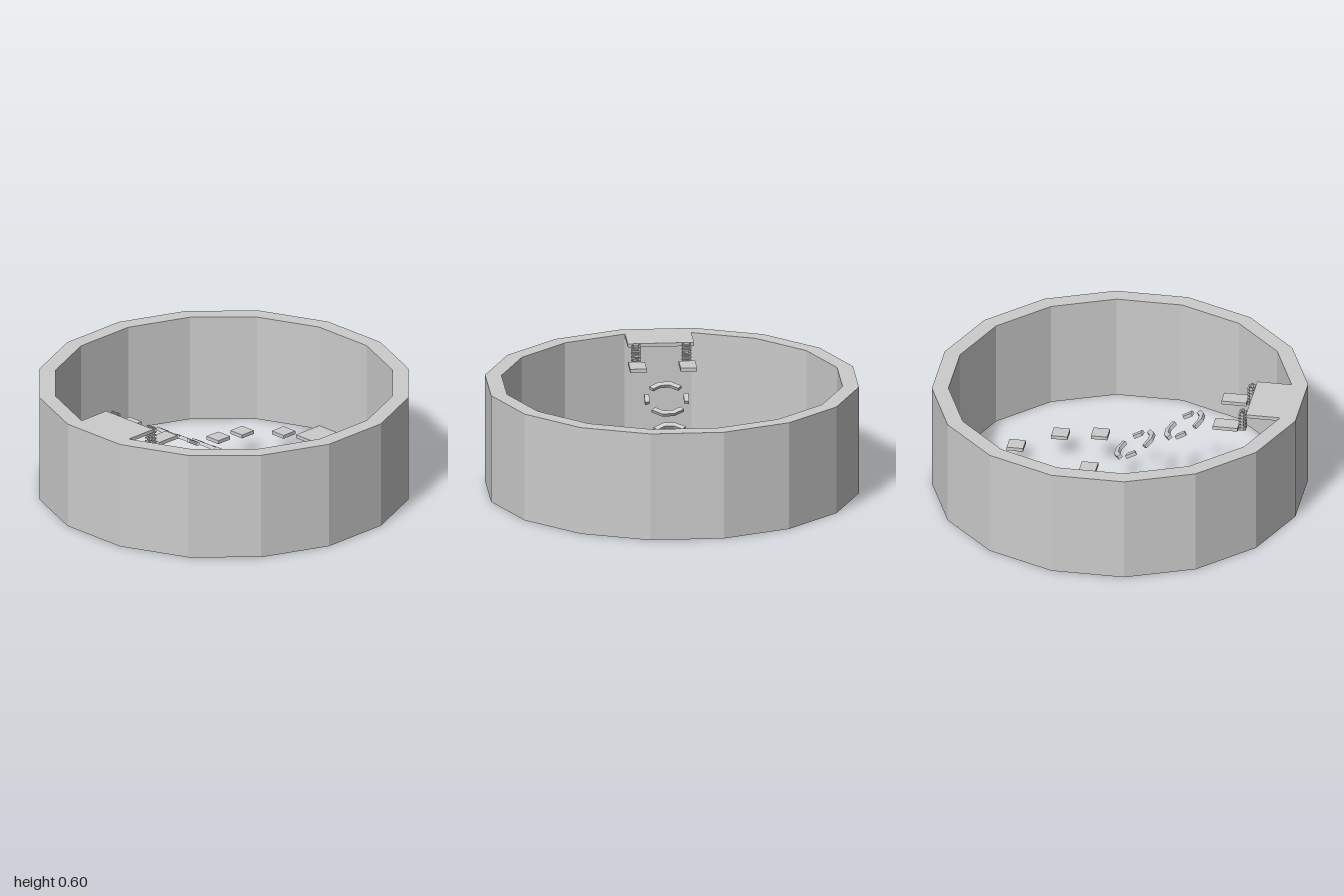
import * as THREE from 'three';

const D = Math.PI / 180;

// Closed band of flat-sided polygon points between two angles, lying flat and extruded upwards
function arcBand(outer, inner, start, end, segments, height) {
  const at = (r, i) => {
    const a = start + (end - start) * i / segments;
    return new THREE.Vector2(r * Math.cos(a), r * Math.sin(a));
  };
  const points = [];
  for (let i = 0; i <= segments; i++) points.push(at(outer, i));
  for (let i = segments; i >= 0; i--) points.push(at(inner, i));
  const g = new THREE.ExtrudeGeometry(new THREE.Shape(points), { depth: height, bevelEnabled: false });
  return g.rotateX(-Math.PI / 2);
}

// Sixteen-sided wall, open at top and bottom
function wallGeometry(apothem, innerApothem, height) {
  const ring = (a) => Array.from({ length: 16 }, (_, i) => {
    const r = a / Math.cos(Math.PI / 16), t = (i + 0.5) * Math.PI / 8;
    return new THREE.Vector2(r * Math.cos(t), r * Math.sin(t));
  });
  const shape = new THREE.Shape(ring(apothem));
  shape.holes.push(new THREE.Path(ring(innerApothem)));
  return new THREE.ExtrudeGeometry(shape, { depth: height, bevelEnabled: false }).rotateX(-Math.PI / 2);
}

export function createModel() {
  const model = new THREE.Group();
  model.name = 'towerCourse';
  const stone = new THREE.MeshStandardMaterial({ color: 0xcccccc });
  stone.name = 'plainGrey';

  const add = (parent, name, geometry) => {
    const mesh = new THREE.Mesh(geometry, stone);
    mesh.name = name;
    parent.add(mesh);
    return mesh;
  };
  // Box placed by its centre in plan and the height of its top
  const slab = (parent, name, w, h, d, x, top, z) =>
    add(parent, name, new THREE.BoxGeometry(w, h, d)).position.set(x, top - h / 2, z);

  add(model, 'wall', wallGeometry(1, 0.912, 0.6));

  // Start platform on the floor, finish platform level with the rim
  slab(model, 'startPlatform', 0.36, 0.02, 0.178, 0, 0.02, -0.823);
  slab(model, 'finishPlatform', 0.36, 0.02, 0.188, 0, 0.6, 0.818);

  for (const side of [-1, 1]) {
    // Rising stepping pads
    for (const [x, top, z] of [[0.137, 0.098, -0.595], [0.227, 0.142, -0.367], [0.183, 0.19, -0.14]]) {
      slab(model, 'steppingPad', 0.09, 0.02, 0.09, side * x, top, z);
    }
    slab(model, 'upperPad', 0.09, 0.02, 0.137, side * 0.137, 0.51, 0.61);

    // Ladder of small square frames from upper pad to finish platform
    const ladder = new THREE.Group();
    ladder.name = 'ladder';
    ladder.position.set(side * 0.137, 0, 0.7);
    for (const s of [-1, 1]) {
      slab(ladder, 'ladderRail', 0.01, 0.115, 0.01, s * 0.018, 0.6, 0);
      for (let i = 0; i < 6; i++) {
        const y = 0.495 + i * 0.019;
        slab(ladder, 'ladderRung', 0.05, 0.008, 0.008, 0, y, s * 0.015);
        slab(ladder, 'ladderLink', 0.01, 0.008, 0.038, s * 0.018, y, 0);
      }
    }
    model.add(ladder);
  }

  // Two tilted broken rings: long arcs front and back, short pieces at the sides
  for (const [y, z] of [[0.243, 0.081], [0.393, 0.355]]) {
    const ring = new THREE.Group();
    ring.name = 'brokenRing';
    for (const [middle, segments] of [[0, 1], [90, 3], [180, 1], [270, 3]]) {
      const half = segments * 15;
      const arc = arcBand(0.124, 0.097, (middle - half) * D, (middle + half) * D, segments, 0.02);
      add(ring, segments === 3 ? 'longArc' : 'shortArc', arc.translate(0, -0.01, 0));
    }
    ring.position.set(0, y, z);
    ring.rotation.x = -30 * D;
    model.add(ring);
  }

  return model;
}
